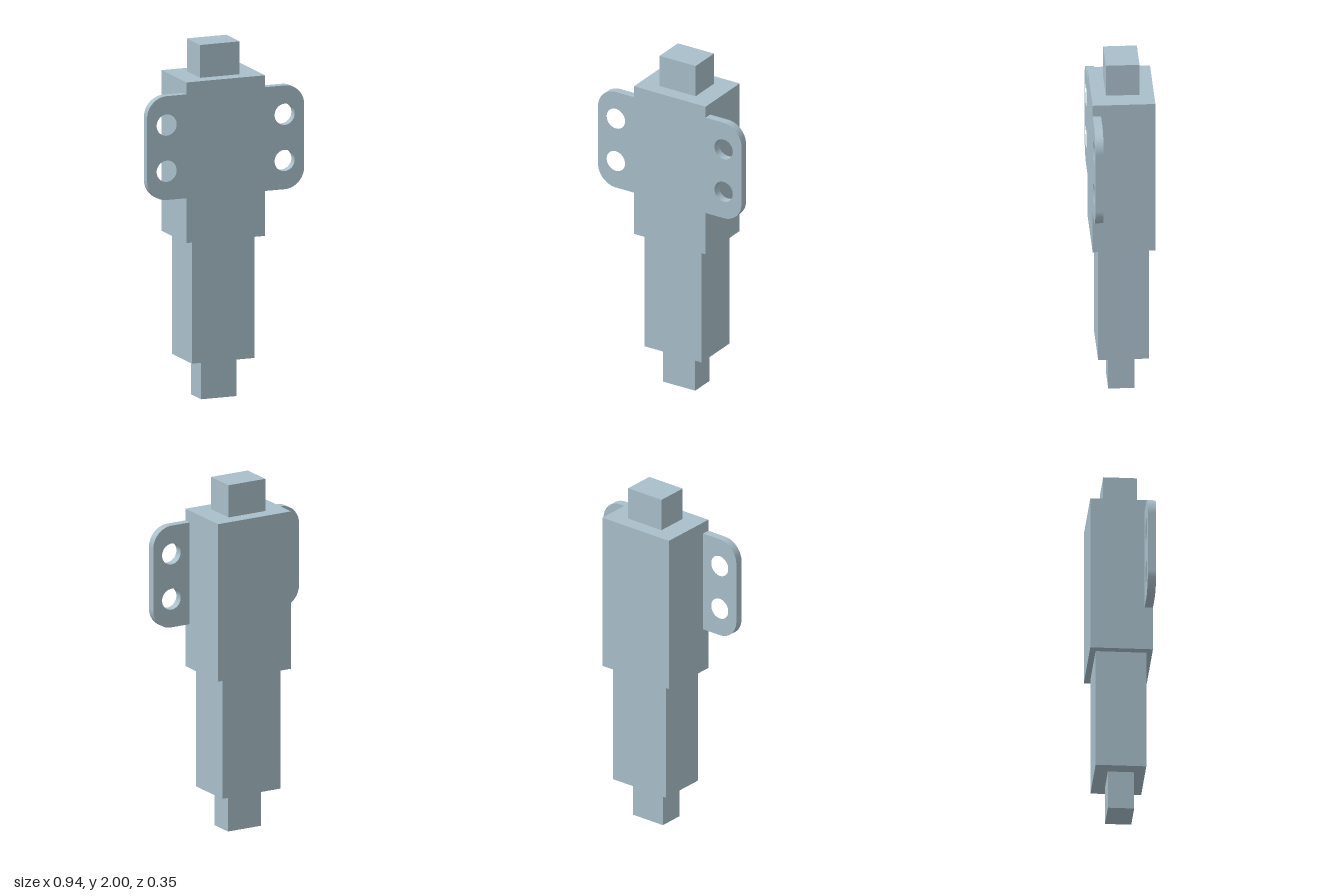
import * as THREE from 'three';

const steel = new THREE.MeshStandardMaterial({ color: 0xa9bfca });
steel.name = 'blueGreySteel';

// Box given by its width, y range and z range
function block(name, width, y0, y1, z0, z1) {
  const mesh = new THREE.Mesh(new THREE.BoxGeometry(width, y1 - y0, z1 - z0), steel);
  mesh.position.set(0, (y0 + y1) / 2, (z0 + z1) / 2);
  mesh.name = name;
  return mesh;
}

// Mounting ear with rounded outer corners and two bolt holes
function mountingEar(name, side) {
  const inner = 0.235, outer = 0.47, y0 = 1.163, y1 = 1.748, r = 0.117;
  const shape = new THREE.Shape();
  shape.moveTo(side * inner, y0);
  shape.lineTo(side * (outer - r), y0);
  shape.absarc(side * (outer - r), y0 + r, r, -Math.PI / 2, side > 0 ? 0 : -Math.PI, side < 0);
  shape.lineTo(side * outer, y1 - r);
  shape.absarc(side * (outer - r), y1 - r, r, side > 0 ? 0 : Math.PI, Math.PI / 2, side < 0);
  shape.lineTo(side * inner, y1);
  shape.closePath();
  for (const y of [1.325, 1.585]) {
    const hole = new THREE.Path();
    hole.absarc(side * 0.353, y, 0.06, 0, Math.PI * 2, true);
    shape.holes.push(hole);
  }
  const geometry = new THREE.ExtrudeGeometry(shape, { depth: 0.046, bevelEnabled: false, curveSegments: 24 });
  geometry.translate(0, 0, 0.127);
  const mesh = new THREE.Mesh(geometry, steel);
  mesh.name = name;
  return mesh;
}

export function createModel() {
  const model = new THREE.Group();
  model.name = 'steppedMount';
  model.add(
    block('bottomStub', 0.212, 0, 0.22, -0.066, 0.079),
    block('lowerShaft', 0.376, 0.22, 0.91, -0.14, 0.14),
    block('mainBody', 0.47, 0.91, 1.815, -0.173, 0.173),
    block('topStub', 0.236, 1.815, 2, -0.093, 0.093),
    mountingEar('leftMountingEar', 1),
    mountingEar('rightMountingEar', -1),
  );
  return model;
}
